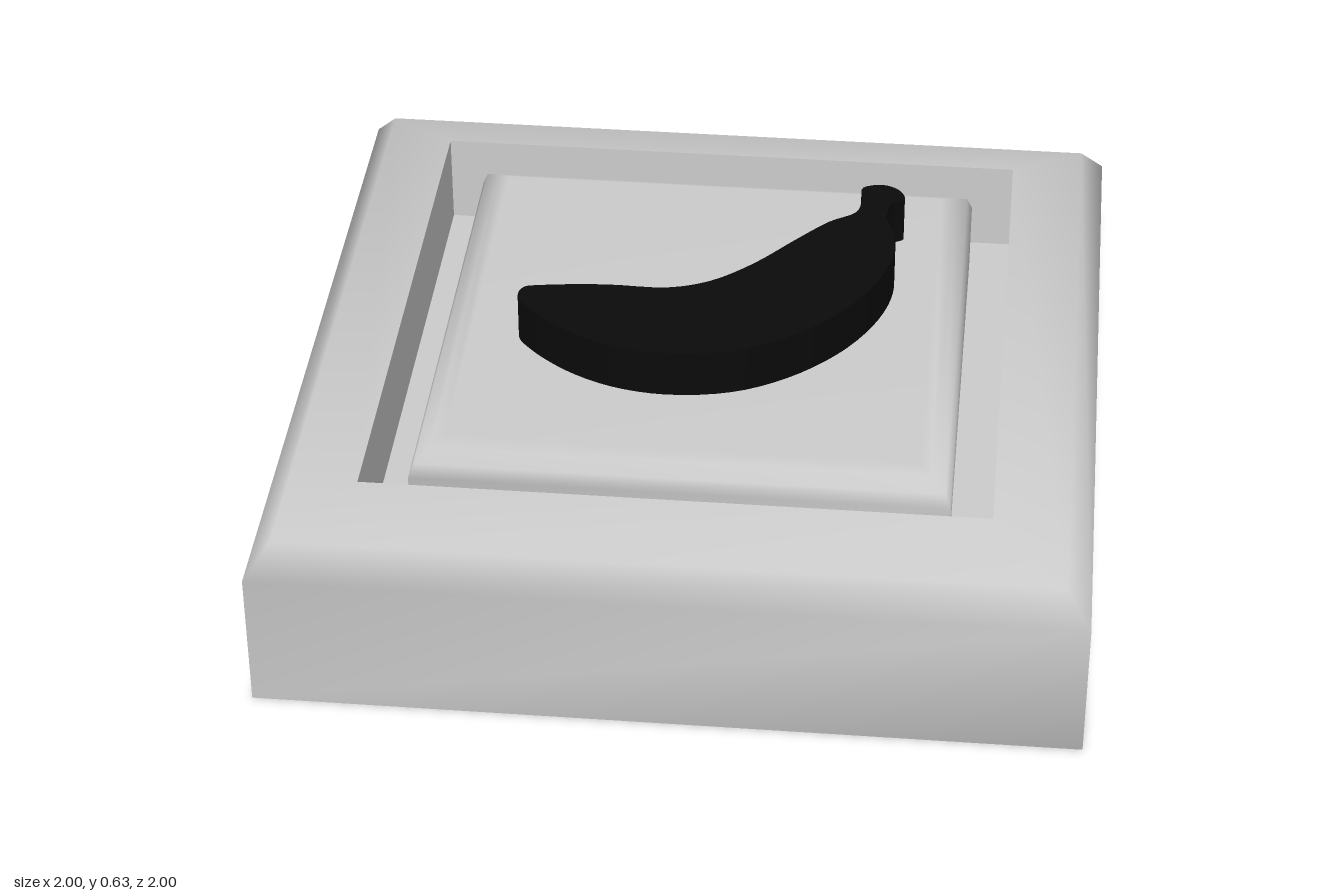
import * as THREE from 'three';

const grey = new THREE.MeshStandardMaterial({ color: 0xcccccc });
const black = new THREE.MeshStandardMaterial({ color: 0x0a0a0a });

// Lofts square rings given as [half width, height]; a half width of 0 closes the surface
function squareLoft(name, profile, smooth) {
  const corners = [[1, 1], [1, -1], [-1, -1], [-1, 1]];
  const positions = [], index = [];
  for (const [half, y] of profile) {
    for (const [sx, sz] of corners) positions.push(sx * half, y, sz * half);
  }
  for (let r = 0; r < profile.length - 1; r++) {
    for (let k = 0; k < 4; k++) {
      const a = r * 4 + k, b = r * 4 + (k + 1) % 4;
      if (profile[r][0] > 0) index.push(a, b, b + 4);
      if (profile[r + 1][0] > 0) index.push(a, b + 4, a + 4);
      else if (profile[r][0] === 0) continue;
    }
  }
  let geometry = new THREE.BufferGeometry();
  geometry.setAttribute('position', new THREE.Float32BufferAttribute(positions, 3));
  geometry.setIndex(index);
  if (!smooth) geometry = geometry.toNonIndexed();
  geometry.computeVertexNormals();
  const mesh = new THREE.Mesh(geometry, grey);
  mesh.name = name;
  return mesh;
}

// Raised banana symbol, outlined in plan as x, z
function bananaSymbol() {
  const points = [
    [0.375, -0.42], [0.43, -0.437], [0.47, -0.415], [0.485, -0.375], [0.455, -0.352],
    [0.443, -0.29], [0.47, -0.2], [0.468, -0.1], [0.43, 0.02], [0.35, 0.15],
    [0.23, 0.265], [0.1, 0.335], [-0.06, 0.36], [-0.2, 0.338], [-0.32, 0.28],
    [-0.42, 0.195], [-0.45, 0.15], [-0.44, 0.11], [-0.4, 0.098], [-0.24, 0.08],
    [-0.08, 0.078], [0.02, 0.04], [0.12, -0.045], [0.22, -0.165], [0.3, -0.255],
    [0.365, -0.305], [0.375, -0.36],
  ].map(([x, z]) => new THREE.Vector3(x, z, 0));
  const curve = new THREE.CatmullRomCurve3(points, true);
  const outline = curve.getPoints(108).slice(0, -1).map(p => new THREE.Vector2(p.x, p.y));
  const geometry = new THREE.ExtrudeGeometry(new THREE.Shape(outline), { depth: 0.13, bevelEnabled: false });
  geometry.rotateX(Math.PI / 2);
  const mesh = new THREE.Mesh(geometry, black);
  mesh.name = 'bananaSymbol';
  mesh.position.y = 0.63;
  return mesh;
}

export function createModel() {
  const model = new THREE.Group();
  model.name = 'pushButton';

  // Housing: softly bevelled outside, sharp recess, flat underside
  const housing = new THREE.Group();
  housing.name = 'housing';
  housing.add(
    squareLoft('housingShell', [[1, 0], [1, 0.36], [0.94, 0.437], [0.758, 0.49]], true),
    squareLoft('recess', [[0.758, 0.49], [0.758, 0.25], [0, 0.25]], false),
    squareLoft('underside', [[0, 0], [1, 0]], false)
  );

  // Button cap with rounded shoulders
  const cap = squareLoft('buttonCap',
    [[0.655, 0.25], [0.655, 0.43], [0.642, 0.465], [0.607, 0.49], [0.575, 0.506], [0, 0.506]], true);

  model.add(housing, cap, bananaSymbol());
  return model;
}
